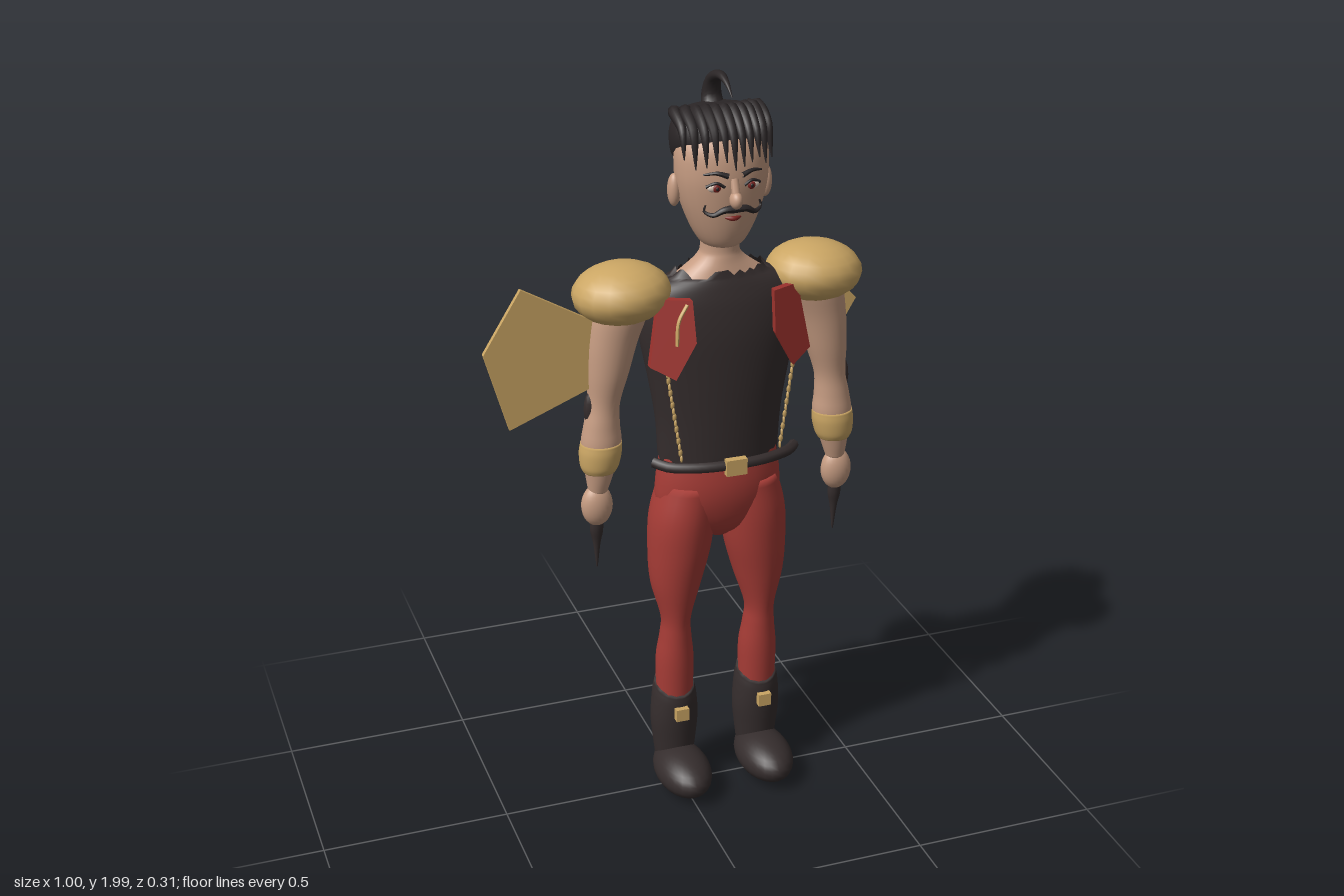
import * as THREE from 'three';

const mat = (name, color, side = THREE.FrontSide) => {
  const m = new THREE.MeshStandardMaterial({ color, side });
  m.name = name;
  return m;
};

// Body part from [y, centreX, centreZ, radiusX, radiusZ] sections, listed bottom to top.
function loft(sections, { jag = 0, caps = true, sides = 28, steps = 5 } = {}) {
  const centre = new THREE.CatmullRomCurve3(sections.map(s => new THREE.Vector3(s[1], s[0], s[2])), false, 'catmullrom');
  const radius = new THREE.CatmullRomCurve3(sections.map(s => new THREE.Vector3(s[3], 0, s[4])), false, 'catmullrom');
  const rings = (sections.length - 1) * steps, pos = [], idx = [];
  for (let r = 0; r <= rings; r++) {
    const c = centre.getPoint(r / rings), q = radius.getPoint(r / rings);
    const edge = r === 0 || r === rings ? jag : 0;
    for (let i = 0; i < sides; i++) {
      const a = i / sides * Math.PI * 2;
      pos.push(c.x + Math.cos(a) * q.x, c.y + edge * Math.sin(i * i * 2.3 + i * 4), c.z + Math.sin(a) * q.z);
    }
  }
  for (let r = 0; r < rings; r++) for (let i = 0; i < sides; i++) {
    const a = r * sides + i, b = r * sides + (i + 1) % sides;
    idx.push(a, a + sides, b, b, a + sides, b + sides);
  }
  if (caps) {
    const n = pos.length / 3, top = rings * sides;
    for (const t of [0, 1]) { const c = centre.getPoint(t); pos.push(c.x, c.y, c.z); }
    for (let i = 0; i < sides; i++) {
      const j = (i + 1) % sides;
      idx.push(i, j, n, top + j, top + i, n + 1);
    }
  }
  const g = new THREE.BufferGeometry();
  g.setAttribute('position', new THREE.Float32BufferAttribute(pos, 3));
  g.setIndex(idx);
  g.computeVertexNormals();
  return g;
}

// Tube through points whose thickness follows profile(t); flat scales it in x.
function strand(points, r, profile = () => 1, flat = 1, sides = 8) {
  const curve = new THREE.CatmullRomCurve3(points.map(p => new THREE.Vector3(...p)));
  const seg = 20, g = new THREE.TubeGeometry(curve, seg, r, sides), p = g.attributes.position;
  const v = new THREE.Vector3();
  for (let i = 0; i < p.count; i++) {
    const t = Math.floor(i / (sides + 1)) / seg, c = curve.getPointAt(t), k = profile(t);
    v.fromBufferAttribute(p, i).sub(c).multiplyScalar(k);
    p.setXYZ(i, c.x + v.x * flat, c.y + v.y, c.z + v.z);
  }
  g.computeVertexNormals();
  return g;
}

export function createModel() {
  const model = new THREE.Group(), body = new THREE.Group();
  body.name = 'figure';
  body.position.x = 0.115;
  model.add(body);
  const skin = mat('skin', 0xc69c82), black = mat('blackCloth', 0x352d2d, THREE.DoubleSide);
  const hair = mat('hair', 0x2a2526, THREE.DoubleSide), red = mat('redTrousers', 0xa63c36);
  const lapelRed = mat('lapelRed', 0x9c322d), gold = mat('gold', 0xcba664);
  const eyeRed = mat('eyeRed', 0x7c2420), eyeWhite = mat('eyeWhite', 0xd8c4b4);

  const add = (name, geo, m, x = 0, y = 0, z = 0) => {
    const mesh = new THREE.Mesh(geo, m);
    mesh.name = name;
    mesh.position.set(x, y, z);
    body.add(mesh);
    return mesh;
  };
  const ball = (name, m, x, y, z, rx, ry, rz, w = 24, h = 16) =>
    add(name, new THREE.SphereGeometry(1, w, h).scale(rx, ry, rz), m, x, y, z);
  const box = (name, m, x, y, z, w, h, d) => add(name, new THREE.BoxGeometry(w, h, d), m, x, y, z);
  const plate = (name, pts, depth, m, z = 0) => add(name, new THREE.ExtrudeGeometry(
    new THREE.Shape(pts.map(p => new THREE.Vector2(...p))), { depth, bevelEnabled: false }), m, 0, 0, z);

  // Torso with ragged neck and hem
  add('shirt', loft([
    [0.985, 0, -0.035, 0.163, 0.096], [1.1, 0, -0.035, 0.17, 0.1], [1.22, 0, -0.035, 0.19, 0.102],
    [1.33, 0, -0.035, 0.212, 0.1], [1.41, 0, -0.035, 0.215, 0.09], [1.46, 0, -0.035, 0.19, 0.077],
    [1.495, 0, -0.035, 0.115, 0.064],
  ], { jag: 0.014, caps: false, sides: 44 }), black);
  add('neck', loft([
    [1.38, 0, -0.035, 0.17, 0.075], [1.45, 0, -0.035, 0.17, 0.068], [1.495, 0, -0.035, 0.105, 0.058],
    [1.53, 0, -0.034, 0.06, 0.05], [1.56, 0, -0.033, 0.05, 0.046], [1.64, 0, -0.03, 0.055, 0.05],
  ]), skin);
  add('hips', loft([
    [0.75, 0, -0.035, 0.03, 0.03], [0.79, 0, -0.035, 0.1, 0.07], [0.85, 0, -0.035, 0.165, 0.092],
    [0.92, 0, -0.035, 0.17, 0.1], [1.01, 0, -0.035, 0.156, 0.09],
  ]), red);

  // Head and face
  add('head', loft([
    [1.562, 0, -0.02, 0.03, 0.035], [1.575, 0, -0.02, 0.056, 0.058], [1.62, 0, -0.021, 0.083, 0.076],
    [1.69, 0, -0.023, 0.109, 0.09], [1.76, 0, -0.025, 0.12, 0.096], [1.83, 0, -0.03, 0.112, 0.088],
    [1.88, 0, -0.035, 0.06, 0.05],
  ]), skin);
  ball('nose', skin, 0, 1.705, 0.08, 0.016, 0.022, 0.022);
  add('noseBridge', strand([[0, 1.755, 0.066], [0, 1.71, 0.083]], 0.011), skin);
  add('mouth', strand([[-0.026, 1.657, 0.056], [0, 1.654, 0.065], [0.026, 1.657, 0.056]], 0.006,
    t => Math.sin(Math.PI * t) + 0.05), eyeRed);
  for (const s of [-1, 1]) {
    ball('ear', skin, s * 0.12, 1.71, -0.035, 0.017, 0.042, 0.02);
    ball('eyeWhite', eyeWhite, s * 0.047, 1.735, 0.06, 0.02, 0.011, 0.008);
    ball('iris', eyeRed, s * 0.045, 1.735, 0.066, 0.01, 0.01, 0.005);
    ball('pupil', hair, s * 0.045, 1.735, 0.07, 0.004, 0.005, 0.003);
    add('upperLid', strand([[s * 0.025, 1.737, 0.068], [s * 0.046, 1.748, 0.066], [s * 0.07, 1.738, 0.056]], 0.004), hair);
    add('eyebrow', strand([[s * 0.018, 1.765, 0.073], [s * 0.045, 1.773, 0.067], [s * 0.075, 1.768, 0.052]], 0.007,
      t => 1.05 - 0.7 * t), hair);
    add('moustache', strand([[0, 1.682, 0.074], [s * 0.03, 1.68, 0.074], [s * 0.055, 1.668, 0.066],
      [s * 0.074, 1.678, 0.055], [s * 0.07, 1.692, 0.055]], 0.011, t => 1.05 - 0.85 * t), hair);
  }

  // Hair: cap, fringe strands and curled topknot
  add('hairCap', loft([
    [1.762, 0, -0.07, 0.085, 0.06], [1.785, 0, -0.064, 0.112, 0.078], [1.825, 0, -0.052, 0.123, 0.098],
    [1.865, 0, -0.052, 0.12, 0.094], [1.895, 0, -0.052, 0.1, 0.075], [1.91, 0, -0.052, 0.05, 0.04],
  ]), hair);
  for (let i = 0; i < 11; i++) {
    const u = (i - 5) / 5, x = u * 0.105, back = u * u * 0.055, drop = (i * 3 % 4) * 0.007;
    add('fringe', strand([[x * 0.8, 1.875, -0.06], [x, 1.907 - 0.012 * u * u, -0.02 - back],
      [x * 1.05, 1.868, 0.052 - back], [x * 1.08, 1.8 - drop, 0.078 - back]], 0.016, t => 1.03 - t * t * 0.95), hair);
  }
  add('topknot', strand([[0, 1.86, -0.065], [0, 1.92, -0.1], [0, 1.965, -0.085], [0, 1.985, -0.035],
    [0, 1.975, 0.01], [0, 1.95, 0.045]], 0.026, t => 1.1 - 1.07 * t, 1.25, 14), hair);

  for (const s of [-1, 1]) {
    // Leg, boot and foot
    add('leg', loft([
      [0.26, s * 0.12, -0.035, 0.05, 0.048], [0.38, s * 0.12, -0.035, 0.052, 0.053],
      [0.46, s * 0.12, -0.028, 0.043, 0.047], [0.52, s * 0.12, -0.025, 0.041, 0.047],
      [0.62, s * 0.117, -0.035, 0.068, 0.072], [0.72, s * 0.107, -0.037, 0.084, 0.087],
      [0.82, s * 0.098, -0.037, 0.088, 0.094], [0.92, s * 0.08, -0.037, 0.08, 0.088],
    ]), red);
    const boot = loft([
      [0.05, s * 0.12, -0.04, 0.05, 0.05], [0.13, s * 0.12, -0.04, 0.06, 0.055],
      [0.2, s * 0.12, -0.04, 0.066, 0.06], [0.27, s * 0.12, -0.039, 0.061, 0.06], [0.305, s * 0.12, -0.038, 0.054, 0.056],
    ], { jag: 0.004 });
    const bp = boot.attributes.position;
    for (let i = 0; i < bp.count; i++)
      if (bp.getY(i) > 0.2) bp.setY(i, bp.getY(i) - (bp.getZ(i) + 0.038) * 4 * (bp.getY(i) - 0.2));
    boot.computeVertexNormals();
    add('boot', boot, black);
    ball('foot', black, s * 0.12, 0.062, 0.03, 0.075, 0.06, 0.125);
    box('bootBuckle', gold, s * 0.12, 0.235, 0.026, 0.036, 0.036, 0.02);

    // Arm, hand, claw and armour
    add('arm', loft([
      [0.92, s * 0.332, -0.027, 0.024, 0.022], [0.97, s * 0.327, -0.028, 0.036, 0.034],
      [1.05, s * 0.32, -0.03, 0.053, 0.047], [1.11, s * 0.317, -0.031, 0.047, 0.043],
      [1.17, s * 0.31, -0.032, 0.042, 0.04], [1.25, s * 0.298, -0.034, 0.055, 0.05],
      [1.34, s * 0.282, -0.035, 0.066, 0.056], [1.43, s * 0.255, -0.036, 0.075, 0.062], [1.48, s * 0.23, -0.036, 0.05, 0.045],
    ]), skin);
    add('bracer', loft([
      [0.982, s * 0.326, -0.029, 0.043, 0.04], [1.0, s * 0.325, -0.029, 0.051, 0.047],
      [1.035, s * 0.322, -0.03, 0.056, 0.051], [1.062, s * 0.32, -0.03, 0.054, 0.048],
    ]), gold);
    ball('elbowPatch', black, s * 0.342, 1.155, -0.032, 0.022, 0.05, 0.019, 10, 8);
    ball('hand', skin, s * 0.335, 0.885, -0.026, 0.042, 0.058, 0.031);
    add('claw', loft([
      [0.7, s * 0.335, -0.035, 0.002, 0.002], [0.77, s * 0.335, -0.034, 0.01, 0.01],
      [0.81, s * 0.335, -0.033, 0.018, 0.017], [0.845, s * 0.335, -0.03, 0.016, 0.015],
    ], { sides: 10 }), black);
    ball('pauldron', gold, s * 0.258, 1.458, -0.037, 0.127, 0.077, 0.117, 18, 12).rotation.z = -s * 0.05;

    // Vest lapel, slanted back towards the shoulder
    const lapel = plate('lapel', [[s * 0.108, 1.455], [s * 0.185, 1.455], [s * 0.215, 1.285], [s * 0.157, 1.255], [s * 0.105, 1.35]],
      0.02, lapelRed).geometry, lp = lapel.attributes.position;
    for (let i = 0; i < lp.count; i++)
      lp.setZ(i, lp.getZ(i) + 0.09 - 0.45 * (Math.abs(lp.getX(i)) - 0.105) - 0.2 * (lp.getY(i) - 1.27));
    lapel.computeVertexNormals();

    // Chain hanging from the lapel to the belt
    for (let i = 0; i < 15; i++) {
      const t = i / 14;
      ball('chainLink', gold, s * (0.17 - 0.035 * t), 1.26 - 0.235 * t, 0.058 + 0.006 * t, i % 2 ? 0.006 : 0.004, 0.011, i % 2 ? 0.004 : 0.006, 6, 5);
    }
  }
  add('shoulderChain', strand([[-0.125, 1.45, 0.08], [-0.15, 1.41, 0.088], [-0.157, 1.35, 0.095]], 0.005), gold);

  // Belt across the front
  add('belt', strand([[-0.195, 1.005, 0.02], [-0.165, 1, 0.052], [-0.09, 1, 0.082], [0, 1, 0.09],
    [0.09, 1, 0.082], [0.165, 1, 0.052], [0.19, 1, 0.025]], 0.014), black);
  box('beltBuckle', gold, 0, 1, 0.102, 0.056, 0.044, 0.02);

  // Flat blade held behind the right arm, its tip past the left arm
  plate('blade', [[-0.52, 1.5], [-0.3, 1.375], [-0.3, 1.235], [-0.56, 1.13], [-0.62, 1.34]], 0.014, gold, -0.037);
  plate('bladeTip', [[0.3, 1.4], [0.355, 1.39], [0.374, 1.37], [0.345, 1.32], [0.3, 1.3]], 0.014, gold, -0.037);
  return model;
}
